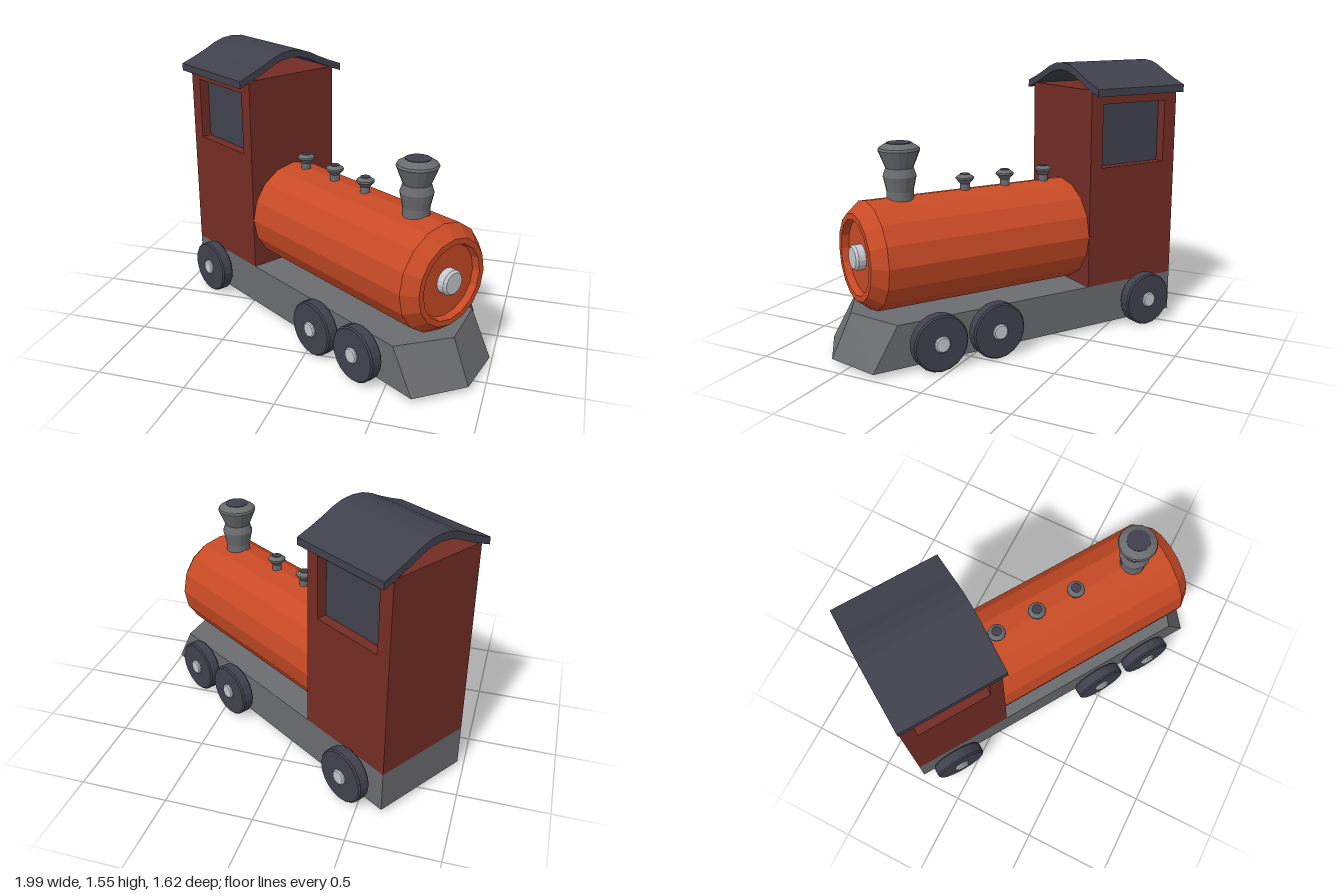
import * as THREE from 'three';

const mat = (name, color) => {
  const m = new THREE.MeshStandardMaterial({ color });
  m.name = name;
  return m;
};

// Faceted normals without touching the material
function flat(geo) {
  const g = geo.index ? geo.toNonIndexed() : geo;
  g.computeVertexNormals();
  return g;
}

function add(parent, name, geo, material, x = 0, y = 0, z = 0) {
  const m = new THREE.Mesh(flat(geo), material);
  m.name = name;
  m.position.set(x, y, z);
  parent.add(m);
  return m;
}

const lathe = (pts, n) => new THREE.LatheGeometry(pts.map(p => new THREE.Vector2(p[0], p[1])), n);

function rectPath(target, x0, x1, y0, y1) {
  target.moveTo(x0, y0);
  target.lineTo(x1, y0);
  target.lineTo(x1, y1);
  target.lineTo(x0, y1);
  target.closePath();
  return target;
}

export function createModel() {
  const orange = mat('boiler orange', 0xc84a25);
  const red = mat('cab dark red', 0x742d25);
  const dark = mat('dark slate', 0x40414d);
  const grey = mat('metal grey', 0x6b6c70);
  const silver = mat('silver', 0xc6c7d0);

  const model = new THREE.Group();
  model.name = 'steamLocomotive';

  // The engine is built facing +x, then turned on the spot
  const engine = new THREE.Group();
  engine.name = 'engine';
  engine.rotation.y = -THREE.MathUtils.degToRad(33);
  engine.position.set(-0.005, 0, 0.008);
  model.add(engine);

  // Chassis with a pointed, sloping nose
  const plan = new THREE.Shape([[-0.95, -0.302], [0.99, -0.302], [1.104, 0], [0.99, 0.302], [-0.95, 0.302]]
    .map(p => new THREE.Vector2(...p)));
  const chassis = new THREE.ExtrudeGeometry(plan, { depth: 0.24, bevelEnabled: false });
  chassis.rotateX(-Math.PI / 2);
  const cp = chassis.attributes.position;
  for (let i = 0; i < cp.count; i++) {
    const x = cp.getX(i);
    if (x > 0.5 && cp.getY(i) > 0.1) cp.setX(i, x - (x > 1.05 ? 0.115 : 0.143));
  }
  add(engine, 'chassis', chassis, grey, 0, 0.03, 0);

  // Boiler with a chamfered rim and recessed front plate
  const boiler = lathe([[0, -0.37], [0.3, -0.37], [0.3, 0.88], [0.24, 0.955], [0.208, 0.955], [0.2, 0.915], [0, 0.915]], 16);
  boiler.rotateZ(-Math.PI / 2);
  add(engine, 'boiler', boiler, orange, 0, 0.57, 0);

  const knob = lathe([[0, 0.9], [0.07, 0.9], [0.07, 0.955], [0.058, 0.968], [0, 0.968]], 16);
  knob.rotateZ(-Math.PI / 2);
  add(engine, 'boilerKnob', knob, silver, 0, 0.57, 0);

  // Chimney
  add(engine, 'chimney', lathe([[0, 0.83], [0.073, 0.83], [0.073, 0.905], [0.09, 0.985], [0.075, 1.03],
    [0.113, 1.125], [0.108, 1.138], [0.07, 1.162], [0, 1.162]], 16), grey, 0.685, 0, 0);
  add(engine, 'chimneyOpening', new THREE.CylinderGeometry(0.067, 0.067, 0.004, 16), dark, 0.685, 1.163, 0);

  // Three small valves along the boiler
  for (const x of [-0.219, 0.04, 0.296]) {
    add(engine, 'valve', lathe([[0, 0.83], [0.028, 0.83], [0.028, 0.902], [0.052, 0.93], [0.05, 0.939],
      [0.028, 0.955], [0, 0.955]], 12), grey, x, 0, 0);
    add(engine, 'valveTop', new THREE.CylinderGeometry(0.027, 0.027, 0.003, 12), dark, x, 0.956, 0);
  }

  // Cab: solid core, window panes, and side walls with openings
  const x0 = -0.95, x1 = -0.345, y0 = 0.27, y1 = 1.41, half = 0.302, depth = 0.063;
  add(engine, 'cabCore', new THREE.BoxGeometry(x1 - x0, y1 - y0, 2 * (half - depth)), red,
    (x0 + x1) / 2, (y0 + y1) / 2, 0);
  const wall = rectPath(new THREE.Shape(), x0, x1, y0, y1);
  wall.holes.push(rectPath(new THREE.Path(), -0.866, -0.425, 0.967, 1.328));
  for (const s of [1, -1]) {
    const side = new THREE.ExtrudeGeometry(wall, { depth, bevelEnabled: false });
    add(engine, 'cabSideWall', side, red, 0, 0, s > 0 ? half - depth : -half);
    add(engine, 'cabWindow', new THREE.BoxGeometry(0.441, 0.361, 0.006), dark,
      -0.6455, 1.1475, s * (half - depth + 0.002));
  }

  // Arched roof with flared eaves
  const arch = [[0.365, 1.42], [0.28, 1.452], [0.2, 1.486], [0.13, 1.52], [0.07, 1.54], [0, 1.547]];
  const top = [...arch, ...arch.slice(0, -1).reverse().map(([z, y]) => [-z, y])];
  const under = top.map(([z, y]) => [z, y - 0.042]).reverse();
  const roofShape = new THREE.Shape([...top, ...under].map(p => new THREE.Vector2(...p)));
  const roof = new THREE.ExtrudeGeometry(roofShape, { depth: 0.608, bevelEnabled: false });
  roof.rotateY(Math.PI / 2);
  add(engine, 'roof', roof, dark, -0.95, 0, 0);

  // Three wheels on each side with axles and hub caps
  for (const s of [1, -1]) {
    for (const x of [-0.72, 0.295, 0.64]) {
      const wheel = new THREE.Group();
      wheel.name = 'wheel';
      wheel.position.set(x, 0.156, 0);
      wheel.rotation.x = s * Math.PI / 2;
      engine.add(wheel);
      add(wheel, 'tyre', lathe([[0, 0.322], [0.15, 0.322], [0.156, 0.33], [0.156, 0.385],
        [0.148, 0.394], [0, 0.394]], 20), dark);
      add(wheel, 'hubCap', lathe([[0.045, 0.385], [0.045, 0.402], [0.038, 0.408], [0, 0.408]], 14), silver);
      add(wheel, 'axle', new THREE.CylinderGeometry(0.04, 0.04, 0.06, 12), dark, 0, 0.3, 0);
    }
  }
  return model;
}
